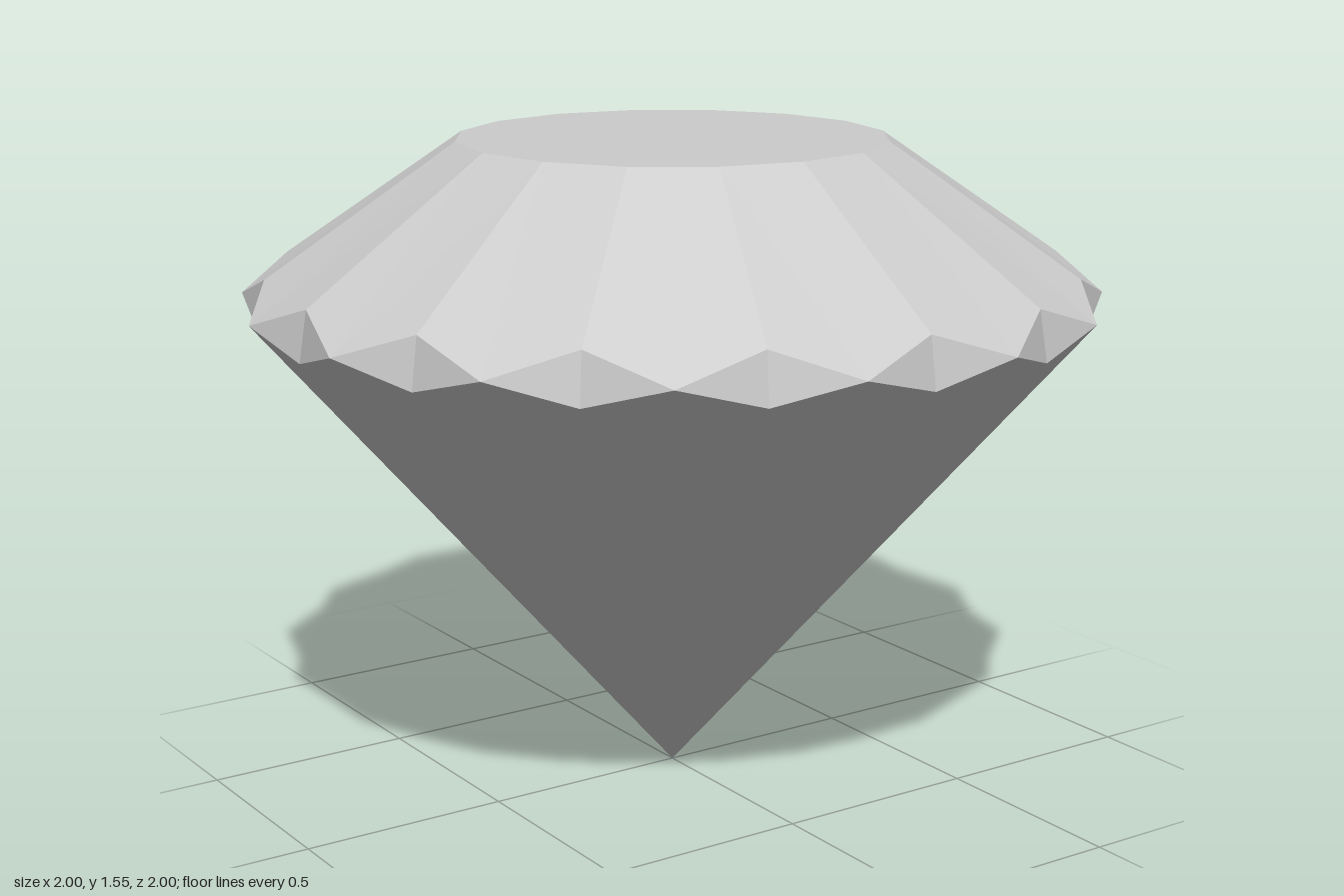
import * as THREE from 'three';

const SIDES = 16;
const STEP = (Math.PI * 2) / SIDES;

// Point on a ring, measured in facet steps around the vertical axis
const ring = (radius, y, k) => [radius * Math.sin(k * STEP), y, radius * Math.cos(k * STEP)];

// Ring heights and radii
const table = (k) => ring(0.51, 1.55, k);
const upper = (k) => ring(0.955, 1.245, k);
const girdle = (k) => ring(1.02, 1.18, k + 0.5);
const lower = (k) => ring(0.975, 1.127, k);
const tip = [0, 0, 0];

// Repeats a convex facet around the stone; corners run anticlockwise seen from outside
function facets(name, corners) {
  const positions = [];
  for (let k = 0; k < SIDES; k++) {
    const c = corners(k);
    for (let i = 1; i < c.length - 1; i++) positions.push(...c[0], ...c[i], ...c[i + 1]);
  }
  const geometry = new THREE.BufferGeometry();
  geometry.setAttribute('position', new THREE.Float32BufferAttribute(positions, 3));
  geometry.computeVertexNormals();
  const material = new THREE.MeshStandardMaterial({ color: 0xcccccc, flatShading: true });
  const mesh = new THREE.Mesh(geometry, material);
  mesh.name = name;
  return mesh;
}

export function createModel() {
  const gem = new THREE.Group();
  gem.name = 'gem';
  gem.add(
    // Flat top
    facets('table', (k) => [[0, 1.55, 0], table(k), table(k + 1)]),
    // Sloping five-cornered facets below the table
    facets('crown', (k) => [girdle(k), upper(k + 1), table(k + 1), table(k), upper(k)]),
    // Diamond notches around the widest part, creased down the middle
    facets('girdle', (k) => [upper(k), girdle(k - 1), lower(k), girdle(k)]),
    // Long facets running down to the point
    facets('pavilion', (k) => [tip, lower(k + 1), girdle(k), lower(k)])
  );
  return gem;
}
